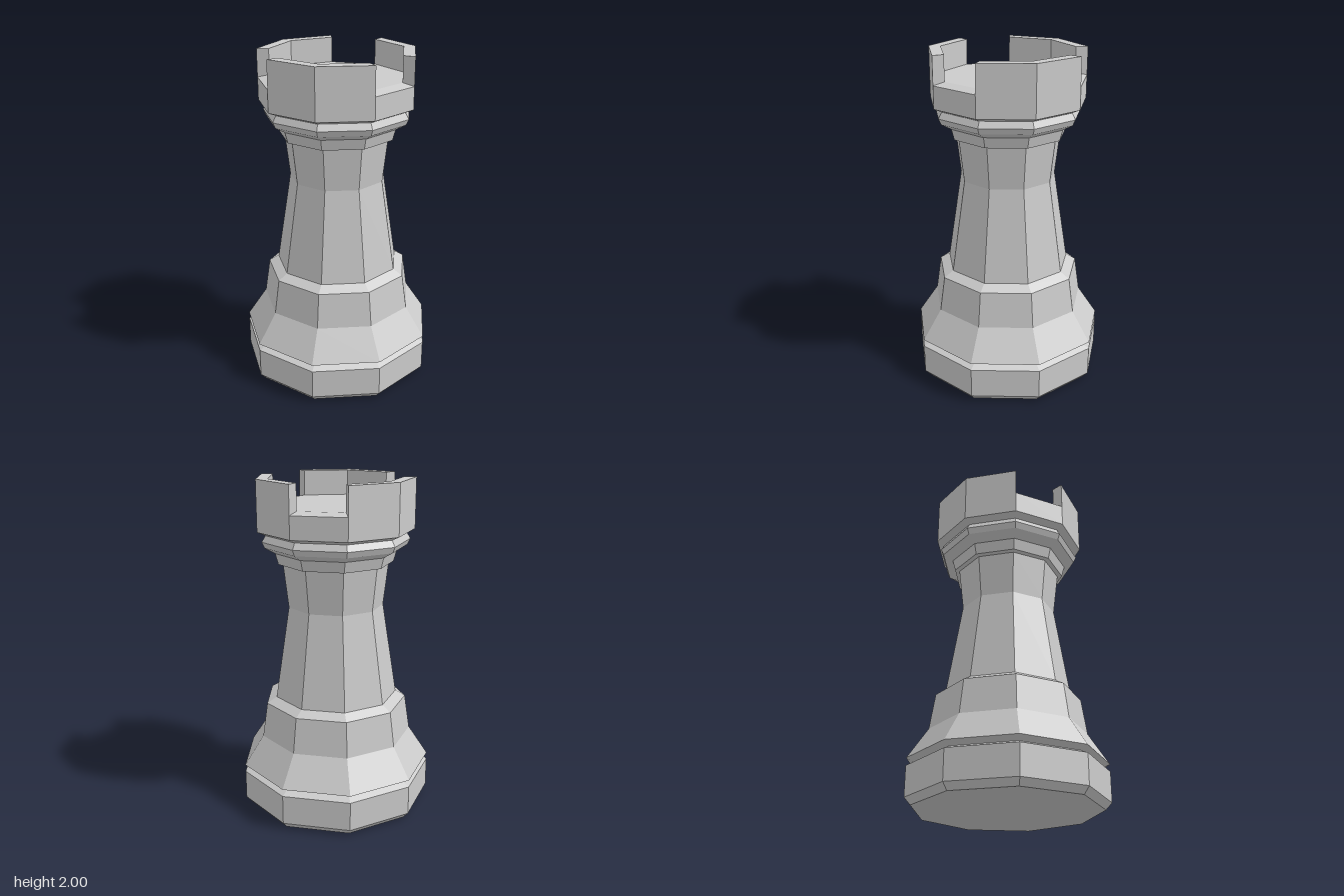
import * as THREE from 'three';

const SIDES = 9;
const STEP = (Math.PI * 2) / SIDES;
const RIM = 0.467, INNER = 0.396, LEDGE = 1.835, FLOOR = 1.85, TOP = 2;

// Profiles as [radius, height], from bottom to top; each continues the one before
const profiles = {
  foot: [[0, 0], [0.55, 0], [0.586, 0.04], [0.586, 0.218], [0.54, 0.239]],
  skirt: [[0.54, 0.239], [0.586, 0.262], [0.467, 0.443], [0.435, 0.655], [0.376, 0.69]],
  shaft: [[0.376, 0.69], [0.288, 1.248], [0.318, 1.505]],
  collar: [[0.318, 1.505], [0.346, 1.51], [0.364, 1.575], [0.425, 1.61], [0.441, 1.645], [0.42, 1.682]],
  crown: [[0.42, 1.682], [RIM, 1.703], [RIM, LEDGE], [INNER, FLOOR], [0, FLOOR]],
};

export function createModel() {
  const model = new THREE.Group();
  model.name = 'rook';
  const material = new THREE.MeshStandardMaterial({ color: 0xcccccc, flatShading: true });

  const add = (name, geometry) => {
    const mesh = new THREE.Mesh(geometry, material);
    mesh.name = name;
    // the nine-sided outline is deeper at the front corner, so shift it to centre
    mesh.position.z = -0.0177;
    model.add(mesh);
  };

  // Turned body, one corner facing the front
  for (const [name, points] of Object.entries(profiles)) {
    add(name, new THREE.LatheGeometry(points.map(([r, y]) => new THREE.Vector2(r, y)), SIDES));
  }

  // Three battlements, each two sides wide, with one-side gaps between
  for (let i = 0; i < 3; i++) {
    const corner = (r, k) => {
      const a = (i * 3 + k) * STEP;
      return new THREE.Vector2(r * Math.sin(a), -r * Math.cos(a));
    };
    const shape = new THREE.Shape([
      ...[-1, 0, 1].map((k) => corner(RIM, k)),
      ...[1, 0, -1].map((k) => corner(INNER, k)),
    ]);
    const geometry = new THREE.ExtrudeGeometry(shape, { depth: TOP - LEDGE, bevelEnabled: false });
    geometry.rotateX(-Math.PI / 2);
    geometry.translate(0, LEDGE, 0);
    add(`battlement${i + 1}`, geometry);
  }

  return model;
}
